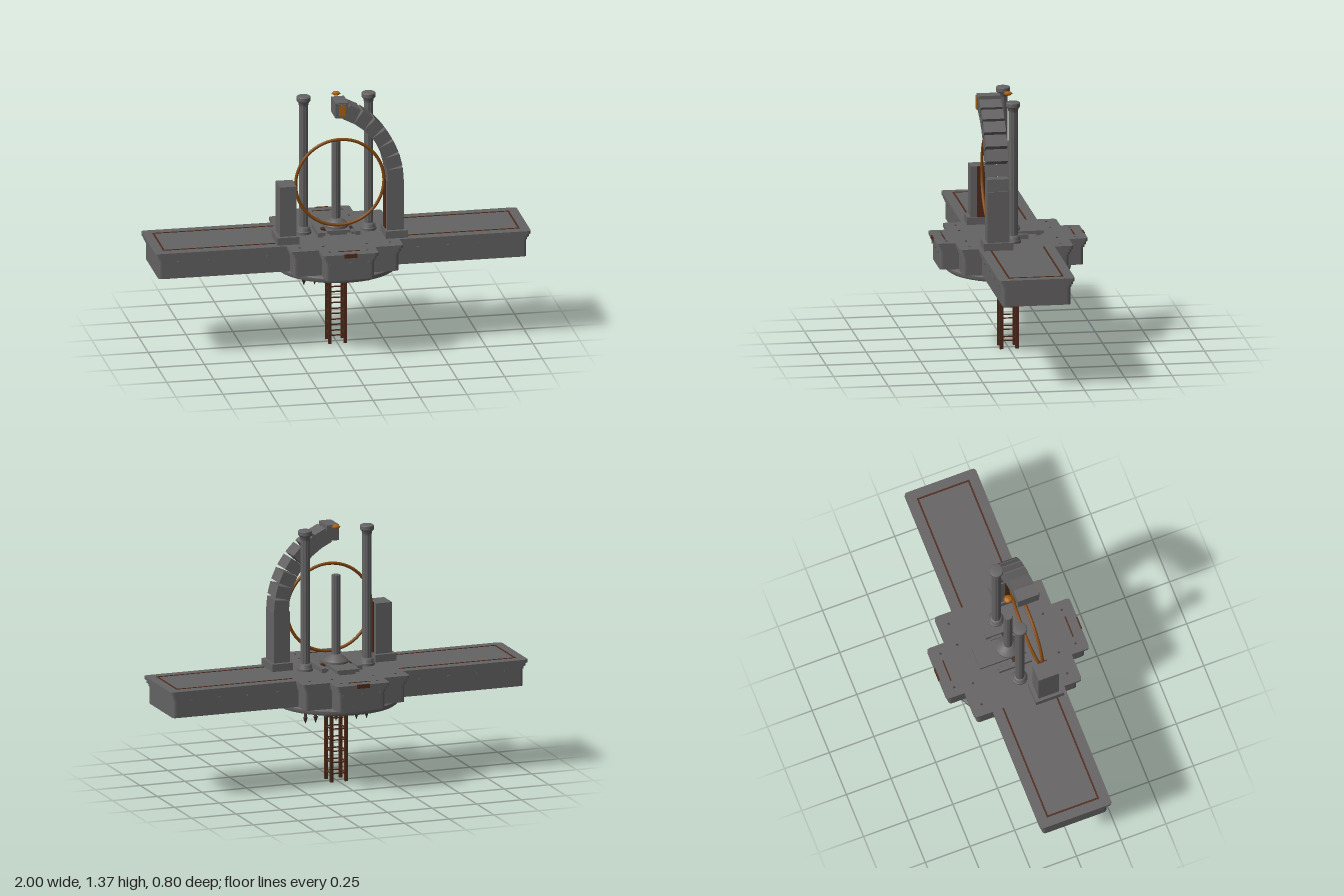
import * as THREE from 'three';

const mat = (name, color) => {
  const m = new THREE.MeshStandardMaterial({ color });
  m.name = name;
  return m;
};

export function createModel() {
  const root = new THREE.Group();
  root.name = 'ruinedShrine';
  const stone = mat('stone', 0x656363);
  const iron = mat('iron', 0x453838);
  const rust = mat('rust', 0x4f2a1b);
  const bronze = mat('bronze', 0x854a10);
  const amber = mat('amber', 0xb0640f);

  const add = (name, geo, m, x = 0, y = 0, z = 0, parent = root) => {
    const mesh = new THREE.Mesh(geo, m);
    mesh.name = name;
    mesh.position.set(x, y, z);
    parent.add(mesh);
    return mesh;
  };
  // Box given by its centre in x and z and its bottom and top in y
  const box = (name, m, x, y0, y1, z, w, d, parent = root) =>
    add(name, new THREE.BoxGeometry(w, y1 - y0, d), m, x, (y0 + y1) / 2, z, parent);
  const lathe = (name, m, pts, x = 0, seg = 32) =>
    add(name, new THREE.LatheGeometry(pts.map(p => new THREE.Vector2(...p)), seg), m, x);
  const slab = (name, m, shape, y0, y1, x = 0) => {
    const geo = new THREE.ExtrudeGeometry(shape, { depth: y1 - y0, bevelEnabled: false, curveSegments: 5 });
    geo.rotateX(-Math.PI / 2);
    return add(name, geo, m, x, y0);
  };

  // Stepped cross outline with rounded outer corners, moved inward by d
  const crossOutline = d => {
    const q = [[1, 0.2], [0.3, 0.2], [0.3, 0.3], [0.15, 0.3], [0.15, 0.4]].map(([x, z]) => [x - d, z - d]);
    const r = [...q].reverse();
    const pts = [...q, ...r.map(([x, z]) => [-x, z]), ...q.map(([x, z]) => [-x, -z]), ...r.map(([x, z]) => [x, -z])]
      .map(p => new THREE.Vector2(...p));
    const s = new THREE.Shape();
    pts.forEach((p, i) => {
      const prev = pts[(i + pts.length - 1) % pts.length], next = pts[(i + 1) % pts.length];
      const a = p.clone().add(prev.clone().sub(p).setLength(0.02));
      const b = p.clone().add(next.clone().sub(p).setLength(0.02));
      if (i) s.lineTo(a.x, a.y); else s.moveTo(a.x, a.y);
      const turn = (p.x - prev.x) * (next.y - p.y) - (p.y - prev.y) * (next.x - p.x);
      if (turn > 0) s.quadraticCurveTo(p.x, p.y, b.x, b.y);
      else { s.lineTo(p.x, p.y); s.lineTo(b.x, b.y); }
    });
    s.closePath();
    return s;
  };

  // Platform, stacked from the body up to the floor
  slab('platformBody', stone, crossOutline(0.02), 0.46, 0.555);
  slab('platformMoulding', stone, crossOutline(0.015), 0.555, 0.57);
  slab('platformCornice', stone, crossOutline(0.008), 0.57, 0.588);
  slab('platformFloor', stone, crossOutline(0), 0.588, 0.605);

  // Round underside
  lathe('underside', stone, [[0, 0.393], [0.17, 0.393], [0.17, 0.393], [0.32, 0.424], [0.32, 0.424],
    [0.328, 0.43], [0.328, 0.448], [0.328, 0.448], [0.31, 0.462], [0, 0.462]], 0, 48);

  // Hanging spikes in a row
  for (let i = -3; i <= 3; i++) {
    lathe('spike', iron, [[0, 0.315], [0.013, 0.35], [0.013, 0.35], [0.009, 0.354], [0.009, 0.395]], i * 0.057, 8);
  }

  // Lattice mast: four posts joined by rungs on every side
  const mast = new THREE.Group();
  mast.name = 'mast';
  root.add(mast);
  for (const x of [-0.041, 0.041]) for (const z of [-0.041, 0.041]) {
    box('mastPost', rust, x, 0, 0.4, z, 0.017, 0.017, mast);
  }
  for (let i = 0; i < 6; i++) {
    const y = 0.045 + i * 0.06;
    for (const s of [-0.041, 0.041]) {
      box('rung', rust, 0, y - 0.003, y + 0.003, s, 0.08, 0.006, mast);
      box('rung', rust, s, y - 0.003, y + 0.003, 0, 0.006, 0.08, mast);
    }
  }
  box('mastCollar', rust, 0, 0.365, 0.394, 0, 0.086, 0.086, mast);

  // Rusted border lines on the wings
  for (const s of [-1, 1]) {
    for (const z of [-0.142, 0.142]) box('wingBorder', rust, s * 0.625, 0.604, 0.607, z, 0.65, 0.009);
    box('wingBorderEnd', rust, s * 0.945, 0.604, 0.607, 0, 0.009, 0.293);
  }

  // Rusted plates and studs on the front and back steps
  for (const s of [-1, 1]) {
    box('edgePlate', rust, 0, 0.586, 0.607, s * 0.398, 0.07, 0.008);
    box('edgeStrip', rust, 0, 0.604, 0.607, s * 0.342, 0.12, 0.007);
    for (const x of [-0.1, 0.1]) {
      box('stud', iron, x, 0.604, 0.607, s * 0.34, 0.01, 0.01);
      box('stud', iron, x * 1.15, 0.604, 0.607, s * 0.24, 0.01, 0.01);
      box('stud', iron, x * 2.4, 0.604, 0.607, s * 0.24, 0.01, 0.01);
    }
    for (let i = -1; i <= 1; i++) box('bracket', stone, i * 0.1, 0.547, 0.556, s * 0.384, 0.012, 0.01);
    for (let i = 0; i < 4; i++) for (const t of [-1, 1]) {
      box('bracket', stone, t * (0.4 + i * 0.16), 0.547, 0.556, s * 0.184, 0.012, 0.01);
    }
  }

  // Fluted shaft cross-section
  const fluted = (r, n = 10) => {
    const s = new THREE.Shape();
    for (let i = 0; i < n * 4; i++) {
      const a = i / (n * 4) * Math.PI * 2, k = r * [1, 1, 0.95, 0.95][i % 4];
      if (i) s.lineTo(k * Math.cos(a), k * Math.sin(a)); else s.moveTo(k, 0);
    }
    s.closePath();
    return s;
  };

  // Pair of tall columns
  for (const x of [-0.173, 0.173]) {
    lathe('columnBase', stone, [[0.041, 0.6], [0.041, 0.617], [0.041, 0.617], [0.034, 0.622], [0.036, 0.632], [0.026, 0.645], [0, 0.645]], x);
    slab('columnShaft', stone, fluted(0.025), 0.64, 1.325, x);
    lathe('columnCapital', stone, [[0.024, 1.305], [0.028, 1.325], [0.037, 1.336], [0.037, 1.336], [0.037, 1.355], [0.037, 1.355], [0.032, 1.36], [0, 1.36]], x);
  }

  // Central column on its dais
  box('daisPlate', stone, 0, 0.618, 0.634, -0.05, 0.124, 0.26);
  for (const z of [-0.155, 0.055]) box('daisSupport', stone, 0, 0.604, 0.62, z, 0.09, 0.025);
  for (const s of [-1, 1]) {
    box('daisRail', stone, s * 0.1, 0.604, 0.628, 0, 0.026, 0.18);
    box('daisRailInlay', stone, s * 0.077, 0.604, 0.62, 0, 0.014, 0.14);
    box('daisBracket', rust, s * 0.073, 0.616, 0.628, 0.01, 0.022, 0.03);
  }
  lathe('centralBase', stone, [[0.064, 0.628], [0.064, 0.645], [0.064, 0.645], [0.05, 0.66], [0.035, 0.669], [0.024, 0.68], [0, 0.68]]);
  slab('centralShaft', stone, fluted(0.023), 0.67, 1.105);
  lathe('floatingJewel', amber, [[0, 1.35], [0.014, 1.355], [0.024, 1.363], [0.016, 1.371], [0, 1.374]], 0, 16);

  // Arch piers with rusted inner strips
  const archZ = 0.102;
  for (const s of [-1, 1]) {
    box('pierFoot', stone, s * 0.289, 0.604, 0.645, archZ, 0.116, 0.156);
    box('pier', stone, s * 0.286, 0.645, 0.917, archZ, 0.09, 0.115);
    box('pierStrip', rust, s * 0.239, 0.645, 0.917, archZ, 0.008, 0.05);
  }

  // Broken half arch of separate blocks, ending in a keystone
  const cx = -0.138, cy = 0.915, radius = 0.425;
  for (let i = 0; i < 7; i++) {
    const a = THREE.MathUtils.degToRad(4.4 + i * 9.8);
    const block = add('archBlock', new THREE.BoxGeometry(0.083, 0.065, 0.115), stone,
      cx + radius * Math.cos(a), cy + radius * Math.sin(a), archZ);
    block.rotation.z = a;
  }
  box('keystone', stone, 0, 1.278, 1.362, 0.102, 0.068, 0.118);
  box('keystoneBoss', stone, 0, 1.285, 1.355, 0.164, 0.044, 0.008);
  box('keystonePlate', amber, 0, 1.29, 1.35, 0.1685, 0.036, 0.003);

  // Great ring between the piers
  add('ring', new THREE.TorusGeometry(0.235, 0.0085, 10, 72), bronze, 0, 0.907, archZ);

  return root;
}
